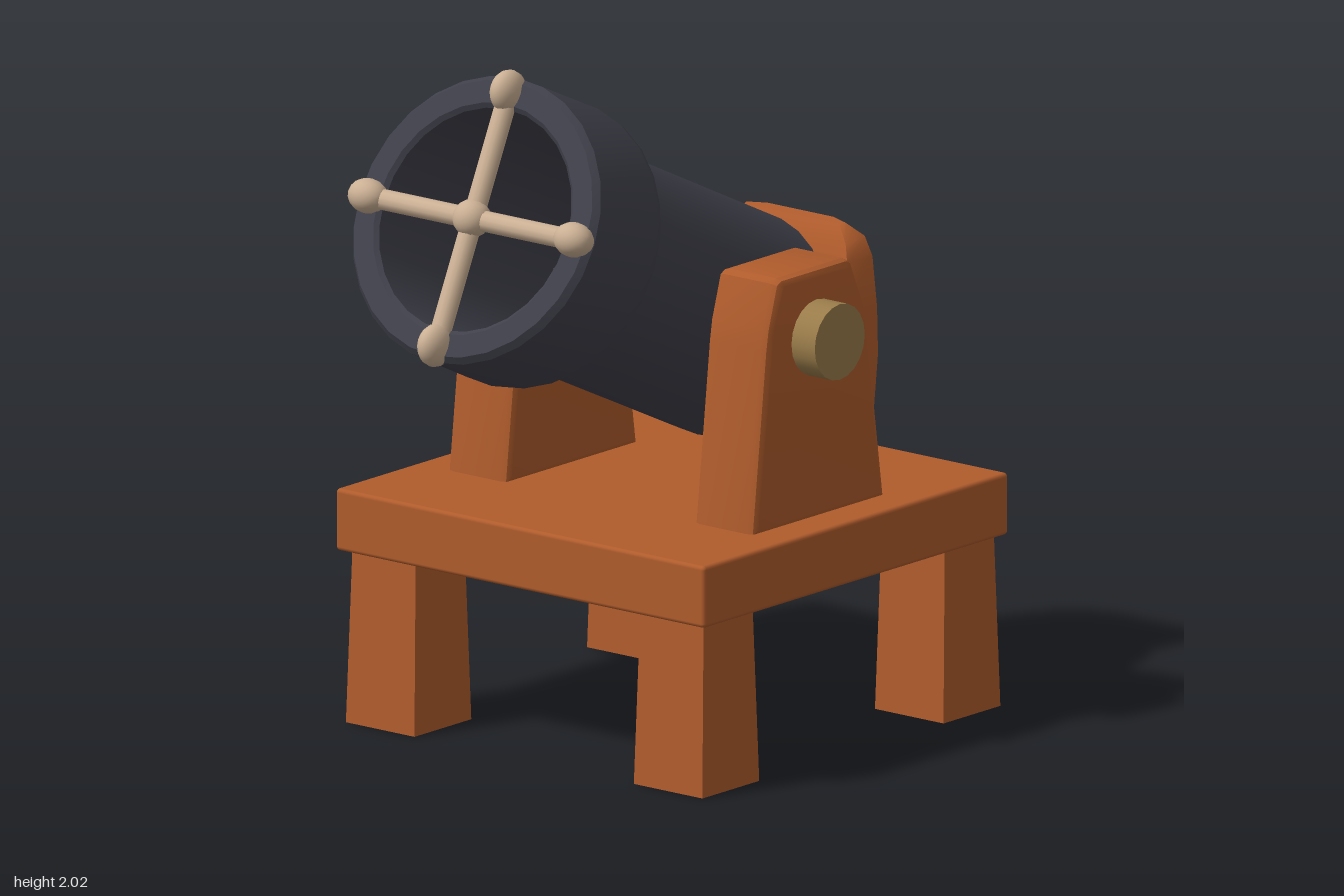
import * as THREE from 'three';
import { toCreasedNormals } from 'three/addons/utils/BufferGeometryUtils.js';
import { RoundedBoxGeometry } from 'three/addons/geometries/RoundedBoxGeometry.js';

const material = (name, color) => new THREE.MeshStandardMaterial({ name, color });

// Skin a stack of closed rings (same point count, counter-clockwise from above) and cap both ends.
function loft(rings) {
  const n = rings[0].length, pos = rings.flat(2), idx = [];
  for (let r = 0; r < rings.length - 1; r++) {
    for (let i = 0; i < n; i++) {
      const a = r * n + i, b = r * n + (i + 1) % n;
      idx.push(a, b, b + n, a, b + n, a + n);
    }
  }
  const top = (rings.length - 1) * n;
  for (let i = 1; i < n - 1; i++) idx.push(0, i + 1, i, top, top + i, top + i + 1);
  const g = new THREE.BufferGeometry();
  g.setAttribute('position', new THREE.Float32BufferAttribute(pos, 3));
  g.setIndex(idx);
  return toCreasedNormals(g, 0.6);
}

export function createModel() {
  const model = new THREE.Group();
  model.name = 'cannonOnStand';
  const wood = material('wood', 0xb05c2c);
  const iron = material('darkIron', 0x40404b);
  const brass = material('brass', 0x9a7c4a);
  const bone = material('paleKnob', 0xcbb094);

  const add = (name, geo, mat, x = 0, y = 0, z = 0, parent = model) => {
    const m = new THREE.Mesh(geo, mat);
    m.name = name;
    m.position.set(x, y, z);
    parent.add(m);
    return m;
  };

  // Stand
  add('tableTop', new RoundedBoxGeometry(1.34, 0.18, 1.345, 2, 0.012), wood, 0.11, 0.59, 0);

  const legGeo = new THREE.BoxGeometry(0.25, 0.52, 0.25);
  const p = legGeo.attributes.position;
  for (let i = 0; i < p.count; i++) {
    if (p.getY(i) > 0) p.setXYZ(i, p.getX(i) * 0.86, p.getY(i), p.getZ(i) * 0.92);
  }
  legGeo.computeVertexNormals();
  for (const x of [-0.415, 0.645]) {
    for (const z of [-0.525, 0.525]) add('leg', legGeo, wood, x, 0.26, z);
  }

  // Side cheeks with trunnion pins
  const cheek = new THREE.Shape([
    [-0.208, 0.67], [0.376, 0.67], [0.302, 1.2], [0.285, 1.26], [0.232, 1.385], [0.212, 1.397],
    [-0.078, 1.397], [-0.1, 1.385], [-0.138, 1.26], [-0.148, 1.2],
  ].map(([x, y]) => new THREE.Vector2(x, y)));
  const cheekGeo = toCreasedNormals(new THREE.ExtrudeGeometry(cheek, {
    depth: 0.17, bevelThickness: 0.025, bevelSize: 0.022, bevelOffset: -0.022, bevelSegments: 2,
  }), 0.6);
  const pinGeo = new THREE.CylinderGeometry(0.11, 0.11, 0.33, 20);
  for (const s of [-1, 1]) {
    add('sideCheek', cheekGeo, wood, 0, 0, s * 0.45 - 0.085);
    add('trunnionPin', pinGeo, brass, 0.07, 1.2, s * 0.48).rotation.x = Math.PI / 2;
  }

  // Barrel group: local +y points out of the muzzle, origin at the muzzle centre
  const barrel = new THREE.Group();
  barrel.name = 'barrelAssembly';
  barrel.position.set(-0.765, 1.62, 0);
  barrel.rotation.z = 1.128;
  model.add(barrel);

  const profile = [
    [0, -1.27], [0.315, -1.27], [0.335, -1.25], [0.338, -0.55], [0.352, -0.36], [0.352, -0.335],
    [0.405, -0.335], [0.425, -0.315], [0.43, -0.29], [0.428, -0.02], [0.412, 0],
    [0.345, 0], [0.332, -0.012], [0.325, -0.85], [0, -0.85],
  ].map(([x, y]) => new THREE.Vector2(x, y));
  const tube = add('barrel', toCreasedNormals(new THREE.LatheGeometry(profile, 28), 0.6), iron, 0, 0, 0, barrel);
  tube.scale.x = 0.975;

  // Muzzle cross: two bars, a hub and four rim knobs
  const ball = new THREE.SphereGeometry(1, 16, 12);
  const barGeo = new THREE.CylinderGeometry(0.03, 0.03, 0.74, 12);
  add('crossBar', barGeo, bone, 0, 0, 0, barrel).rotation.z = Math.PI / 2;
  add('crossBar', barGeo, bone, 0, 0, 0, barrel).rotation.x = Math.PI / 2;
  add('crossHub', ball, bone, 0, 0.005, 0, barrel).scale.setScalar(0.055);
  for (const s of [-1, 1]) {
    add('rimKnob', ball, bone, s * 0.372, 0.005, 0, barrel).scale.set(0.062, 0.065, 0.042);
    add('rimKnob', ball, bone, 0, 0.01, s * 0.375, barrel).scale.set(0.05, 0.055, 0.06);
  }

  // Breech block: flat towards the barrel, domed outwards
  // [inner y, outer y, inner x, side x, outer x, side half width, outer half width]
  const rings = [
    [0.745, 0.698, 0.455, 0.6, 0.65, 0.285, 0.26],
    [0.77, 0.725, 0.455, 0.61, 0.68, 0.302, 0.26],
    [0.84, 0.83, 0.478, 0.63, 0.755, 0.305, 0.19],
    [0.98, 0.99, 0.518, 0.66, 0.85, 0.295, 0.1],
    [1.12, 1.11, 0.557, 0.68, 0.83, 0.275, 0.1],
    [1.25, 1.26, 0.594, 0.69, 0.76, 0.25, 0.12],
    [1.3, 1.325, 0.61, 0.68, 0.71, 0.23, 0.13],
    [1.345, 1.35, 0.64, 0.655, 0.675, 0.18, 0.12],
  ].map(([yi, yo, xi, xs, xo, zs, zo]) => {
    const ym = (yi + yo) / 2;
    return [
      [xi, yi, zs * 0.95], [xs, ym, zs], [xo, yo, zo],
      [xo, yo, -zo], [xs, ym, -zs], [xi, yi, -zs * 0.95],
    ];
  });
  add('breechBlock', loft(rings), wood);

  // Breech handle
  add('handleStem', new THREE.CylinderGeometry(0.036, 0.055, 0.13, 12), bone, 0.85, 0.982, 0).rotation.z = -1.75;
  add('handleKnob', ball, bone, 0.912, 0.97, 0).scale.set(0.064, 0.068, 0.056);

  return model;
}
